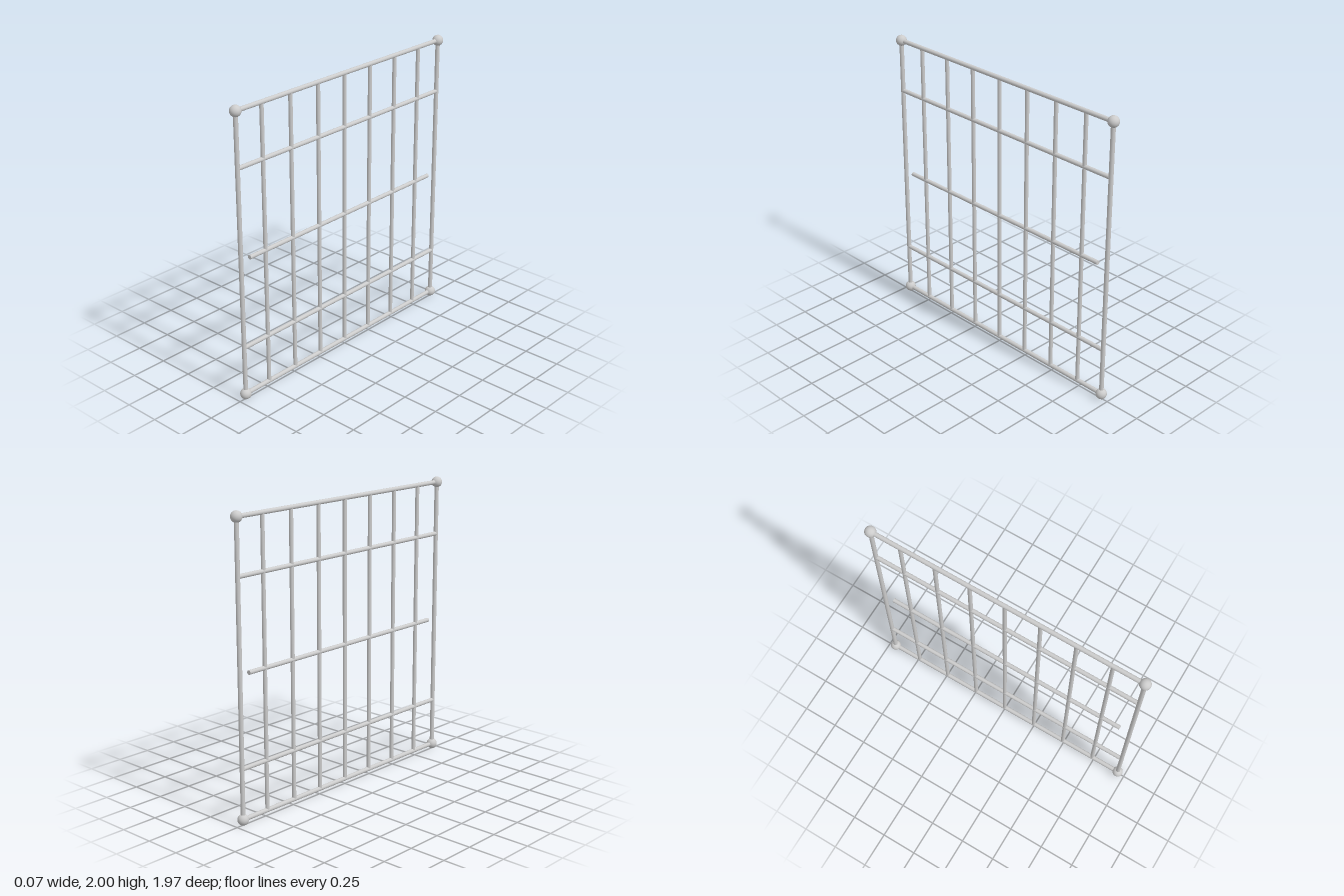
import * as THREE from 'three';

const HALF = 0.947;   // half width of the frame, to the corner centres
const LOW = 0.037;    // height of the bottom tube's axis
const HIGH = 1.963;   // height of the top tube's axis

export function createModel() {
  const model = new THREE.Group();
  model.name = 'barGrille';
  const metal = new THREE.MeshStandardMaterial({ color: 0xcccccc });

  const add = (name, geometry, y, z) => {
    const mesh = new THREE.Mesh(geometry, metal);
    mesh.name = name;
    mesh.position.set(0, y, z);
    model.add(mesh);
    return mesh;
  };
  const upright = (name, radius, z) =>
    add(name, new THREE.CylinderGeometry(radius, radius, HIGH - LOW, 20), (LOW + HIGH) / 2, z);
  const rail = (name, radius, y, halfLength) => {
    add(name, new THREE.CylinderGeometry(radius, radius, halfLength * 2, 20), y, 0).rotation.x = Math.PI / 2;
  };

  // Outer frame with a ball at each corner
  const ball = new THREE.SphereGeometry(0.037, 32, 20);
  for (const side of [-1, 1]) {
    upright('framePost', 0.015, side * HALF);
    for (const y of [LOW, HIGH]) add('cornerBall', ball, y, side * HALF);
  }
  rail('bottomFrameTube', 0.015, LOW, HALF);
  rail('topFrameTube', 0.015, HIGH, HALF);

  // Seven evenly spaced vertical bars
  for (let i = -3; i <= 3; i++) upright('verticalBar', 0.0135, i * 0.245);

  // Cross rails; the middle one stops short of the posts
  rail('lowerCrossRail', 0.0145, 0.375, HALF);
  rail('middleCrossRail', 0.0145, 0.987, 0.873);
  rail('upperCrossRail', 0.0145, 1.6, HALF);

  return model;
}
